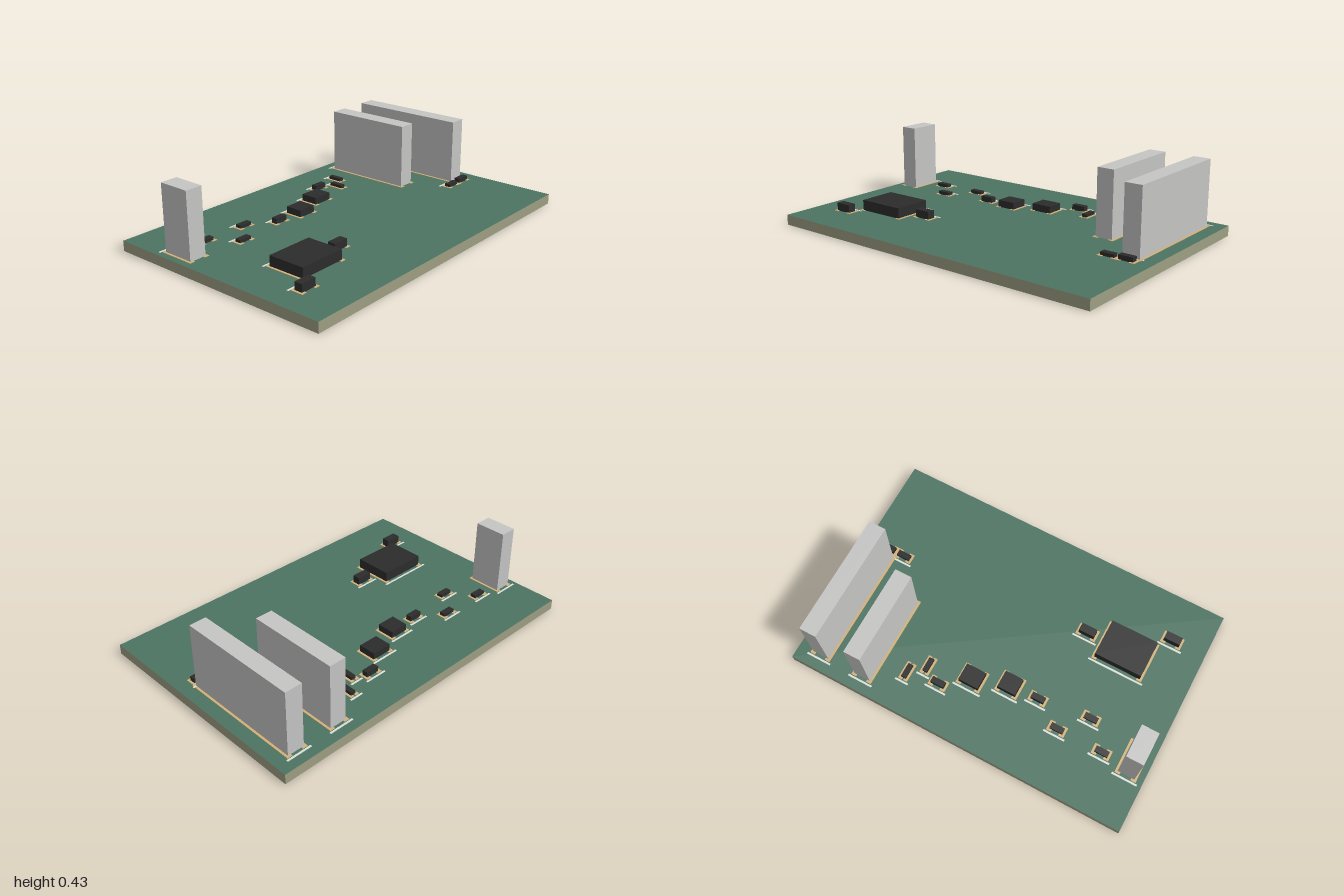
import * as THREE from 'three';

const mat = (name, color) => {
  const m = new THREE.MeshStandardMaterial({ color });
  m.name = name;
  return m;
};

export function createModel() {
  const green = mat('board green', 0x4c7462);
  const edge = mat('board edge olive', 0x9e9f83);
  const black = mat('chip black', 0x2c2c2d);
  const grey = mat('connector grey', 0xc5c5c4);
  const gold = mat('pad gold', 0xd2b178);
  const white = mat('marking white', 0xdcdfda);

  const model = new THREE.Group();
  model.name = 'circuitBoard';
  const TOP = 0.057;

  // Box standing on height y
  const box = (name, material, w, h, d, x, y, z) => {
    const mesh = new THREE.Mesh(new THREE.BoxGeometry(w, h, d), material);
    mesh.name = name;
    mesh.position.set(x, y + h / 2, z);
    return mesh;
  };

  // Board: green faces, bare edges
  model.add(box('board', [edge, edge, green, green, edge, edge], 2, TOP, 1.334, 0, 0, 0));

  // Component: body, a solder pad along each side, and a marking line behind
  const addPart = (name, material, [x, z, w, d, top]) => {
    const part = new THREE.Group();
    part.name = name;
    part.position.set(x, TOP, z);
    part.add(box('body', material, w, top - TOP, d, 0, 0, 0));
    const padWidth = Math.min(0.03, w * 0.35 + 0.013);
    for (const side of [-1, 1]) {
      const padX = side * (w / 2 + 0.013 - padWidth / 2);
      part.add(box('solderPad', gold, padWidth, 0.002, d + 0.026, padX, 0, 0));
    }
    part.add(box('markingLine', white, w + 0.05, 0.002, 0.011, 0, 0, -d / 2 - 0.023));
    model.add(part);
  };

  // Tall connectors: x, z, width, depth, top height
  [
    [-0.903, -0.296, 0.097, 0.182, 0.425],
    [0.599, -0.325, 0.097, 0.52, 0.425],
    [0.864, -0.2375, 0.097, 0.695, 0.425],
  ].forEach((p) => addPart('connector', grey, p));

  // Chips: x, z, width, depth, top height
  [
    [-0.601, 0.23, 0.277, 0.217, 0.116],
    [-0.802, 0.41, 0.093, 0.045, 0.102],
    [-0.368, 0.23, 0.092, 0.045, 0.102],
    [-0.736, -0.337, 0.077, 0.034, 0.076],
    [-0.604, -0.2, 0.077, 0.034, 0.076],
    [-0.47, -0.337, 0.077, 0.034, 0.076],
    [-0.303, -0.238, 0.077, 0.034, 0.088],
    [-0.134, -0.24, 0.108, 0.1, 0.097],
    [0.066, -0.304, 0.118, 0.1, 0.097],
    [0.215, -0.418, 0.079, 0.034, 0.087],
    [0.313, -0.356, 0.029, 0.082, 0.076],
    [0.398, -0.44, 0.029, 0.082, 0.076],
    [0.764, 0.147, 0.077, 0.034, 0.076],
    [0.866, 0.147, 0.083, 0.034, 0.083],
  ].forEach((p) => addPart('chip', black, p));

  return model;
}
